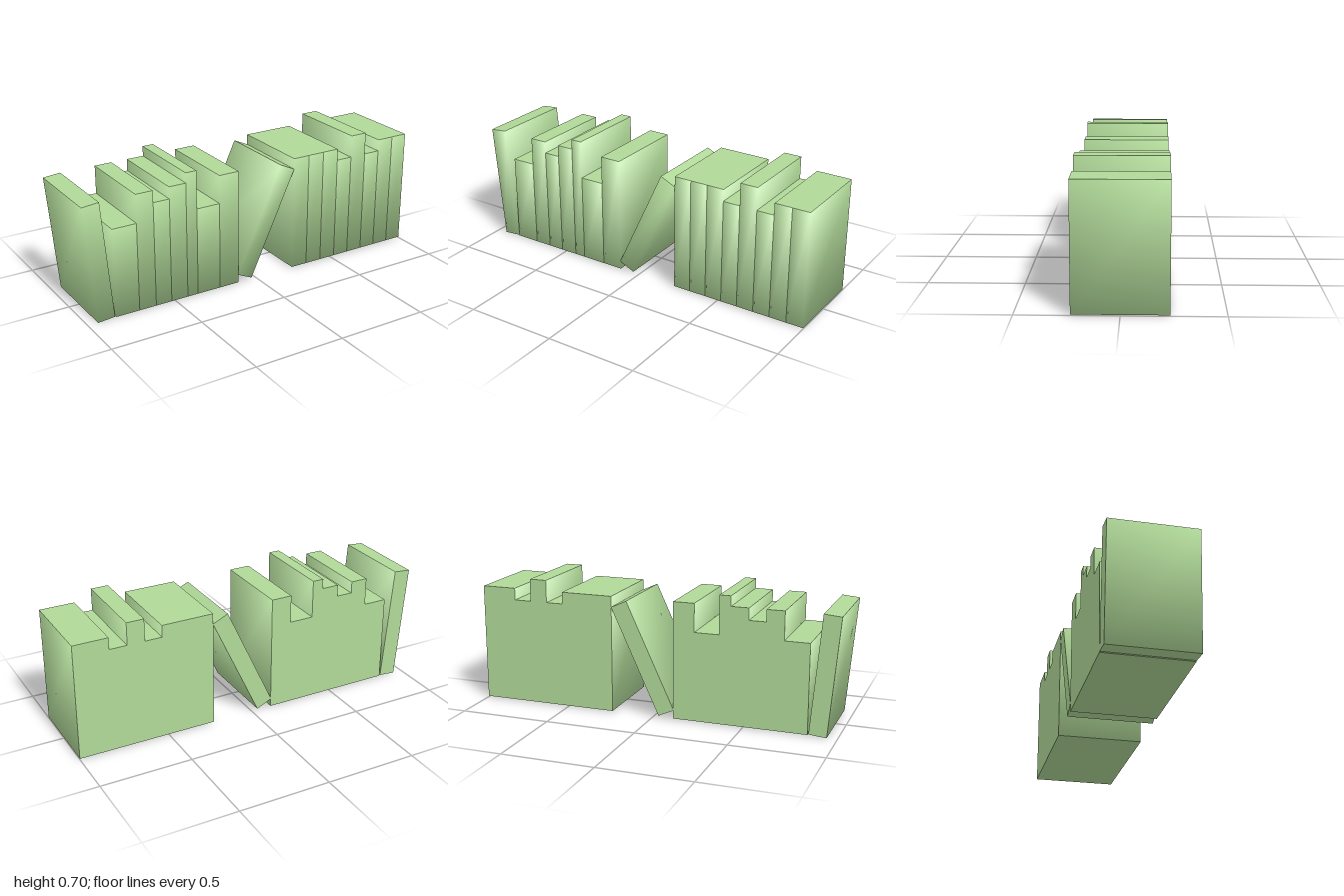
import * as THREE from 'three';

const DEPTH = 0.466;
const material = new THREE.MeshStandardMaterial({ color: 0xb0d898 });

// One book: covers and spine share rounded corner normals, the page edges stay flat.
function makeBook(name, width, height, x, y, tilt = 0) {
  const geometry = new THREE.BoxGeometry(width, height, DEPTH);
  const { position, normal } = geometry.attributes;
  const corner = new THREE.Vector3();
  for (let i = 0; i < position.count; i++) {
    const isPageEdge = normal.getY(i) !== 0 || normal.getZ(i) < 0;
    if (isPageEdge) continue;
    corner.set(Math.sign(position.getX(i)), Math.sign(position.getY(i)), Math.sign(position.getZ(i))).normalize();
    normal.setXYZ(i, corner.x, corner.y, corner.z);
  }
  const book = new THREE.Mesh(geometry, material);
  book.name = name;
  book.position.set(x, y, 0);
  book.rotation.z = tilt;
  return book;
}

// A run of upright books between successive x edges.
function makeRow(name, edges, tops) {
  const row = new THREE.Group();
  row.name = name;
  const base = 0.005;
  tops.forEach((top, i) => {
    const width = edges[i + 1] - edges[i];
    row.add(makeBook('uprightBook', width, top - base, (edges[i] + edges[i + 1]) / 2, (top + base) / 2));
  });
  return row;
}

export function createModel() {
  const model = new THREE.Group();
  model.name = 'bookRow';

  // Upright books either side of the gap
  model.add(makeRow('rightBooks',
    [-0.845, -0.711, -0.615, -0.524, -0.428, -0.366, -0.231, -0.115],
    [0.49, 0.645, 0.58, 0.645, 0.7, 0.49, 0.645]));
  model.add(makeRow('leftBooks',
    [0.235, 0.331, 0.427, 0.523, 0.617, 0.713, 0.808, 0.904, 1],
    [0.645, 0.645, 0.645, 0.58, 0.703, 0.58, 0.645, 0.645]));

  // Slightly tilted end book, and the book leaning across the gap
  model.add(makeBook('tiltedEndBook', 0.095, 0.64, -0.925, 0.323, 0.086));
  model.add(makeBook('leaningBook', 0.095, 0.635, 0.059, 0.318, -0.436));

  return model;
}
